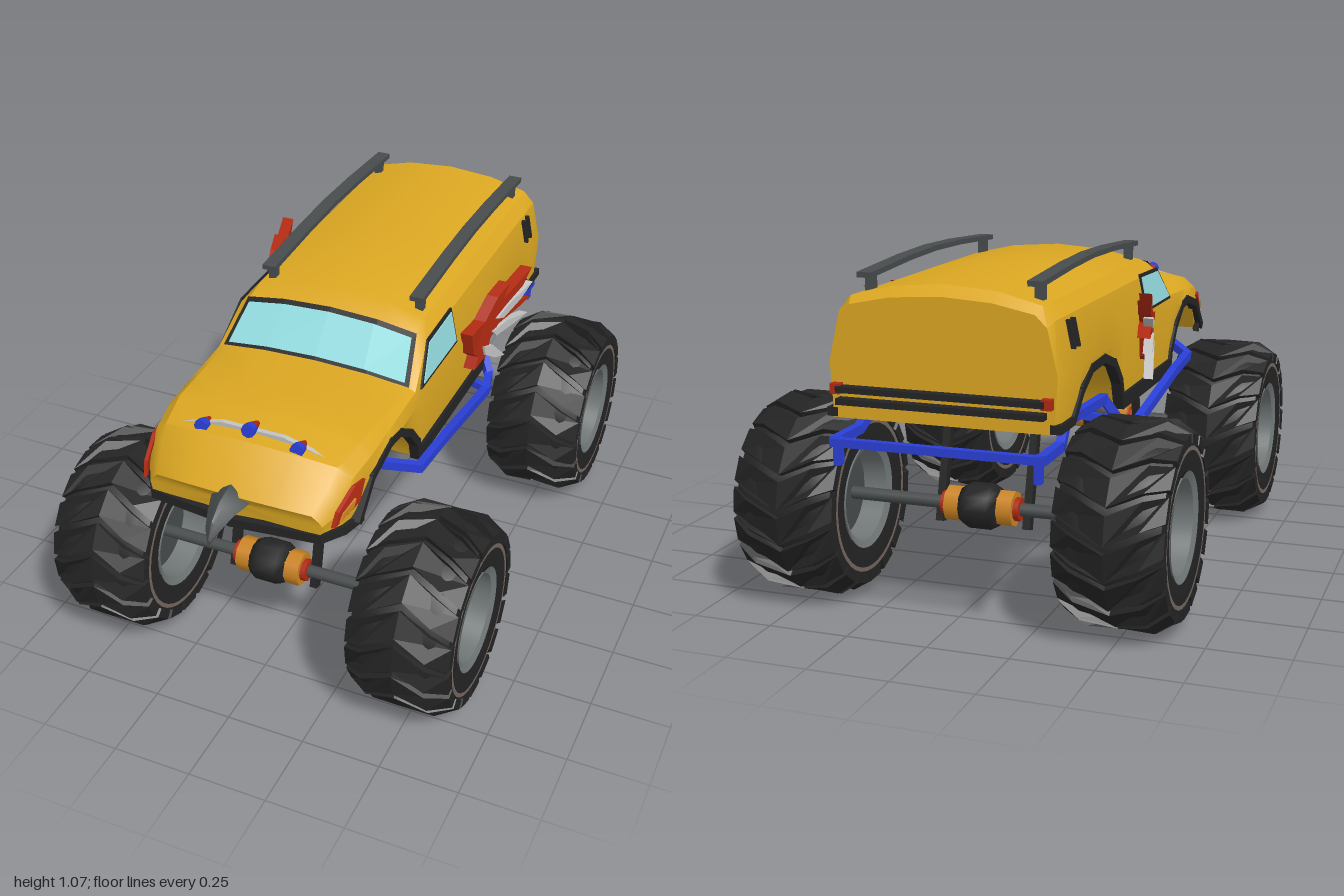
import * as THREE from 'three';
import { toCreasedNormals } from 'three/addons/utils/BufferGeometryUtils.js';

const paint = (name, color, double) => {
  const m = new THREE.MeshStandardMaterial({ color });
  m.name = name;
  if (double) m.side = THREE.DoubleSide;
  return m;
};

export function createModel() {
  const M = {
    yellow: paint('body yellow', 0xdba722), black: paint('rubber black', 0x242424, true),
    slate: paint('slate grey', 0x484c4c, true), rim: paint('rim grey', 0x707676, true),
    red: paint('red', 0xb02a12), blue: paint('frame blue', 0x2a3fd6),
    glass: paint('glass', 0x92dade, true), silver: paint('silver', 0xc2c2c2),
    orange: paint('orange', 0xcc8422), brown: paint('dusty brown', 0x74675f, true),
  };
  const root = new THREE.Group();
  root.name = 'monsterTruck';
  // Body and chassis sit slightly to one side of the wheels
  const truck = new THREE.Group();
  truck.name = 'truckBody';
  truck.position.x = -0.03;
  root.add(truck);

  const add = (name, geo, mat, parent = truck) => {
    const m = new THREE.Mesh(geo, mat);
    m.name = name;
    parent.add(m);
    return m;
  };
  const box = (name, mat, w, h, d, x, y, z) =>
    add(name, new THREE.BoxGeometry(w, h, d), mat).position.set(x, y, z);
  // Rectangular bar between two points, and a chain of them
  const bar = (name, mat, a, b, w, h) => {
    const A = new THREE.Vector3(...a), B = new THREE.Vector3(...b);
    const m = new THREE.Mesh(new THREE.BoxGeometry(w, h, A.distanceTo(B) + w * 0.5), mat);
    m.name = name;
    m.position.copy(A).lerp(B, 0.5);
    m.lookAt(B);
    truck.add(m);
  };
  const chain = (name, mat, pts, w, h) => {
    for (let i = 1; i < pts.length; i++) bar(name, mat, pts[i - 1], pts[i], w, h);
  };
  // Closed loft through rings running front to back, capped at both ends
  const loft = (rings, crease) => {
    const pos = [], n = rings[0].length;
    const tri = (...p) => p.forEach(q => pos.push(...q));
    for (let i = 0; i + 1 < rings.length; i++) for (let j = 0; j < n; j++) {
      const k = (j + 1) % n, a = rings[i][j], b = rings[i][k], c = rings[i + 1][k], d = rings[i + 1][j];
      tri(a, d, c); tri(a, c, b);
    }
    [rings[0], rings[rings.length - 1]].forEach((r, e) => {
      const mid = [0, 1, 2].map(c => r.reduce((s, p) => s + p[c], 0) / n);
      r.forEach((p, j) => (e ? tri(mid, r[(j + 1) % n], p) : tri(mid, p, r[(j + 1) % n])));
    });
    const g = new THREE.BufferGeometry();
    g.setAttribute('position', new THREE.Float32BufferAttribute(pos, 3));
    g.computeVertexNormals();
    return toCreasedNormals(g, crease);
  };
  const bend = (geo, rule) => {
    const p = geo.attributes.position, v = new THREE.Vector3();
    for (let i = 0; i < p.count; i++) {
      rule(v.fromBufferAttribute(p, i));
      p.setXYZ(i, v.x, v.y, v.z);
    }
    geo.computeVertexNormals();
    return geo;
  };
  // Plate drawn in (z, y) on side s, following x = s * lean(y, z)
  const sidePlate = (name, mat, pts, depth, s, lean) => {
    const shape = new THREE.Shape(pts.map(([z, y]) => new THREE.Vector2(-z, y)));
    const g = new THREE.ExtrudeGeometry(shape, { depth, bevelEnabled: false });
    g.translate(0, 0, -depth / 2).rotateY(Math.PI / 2);
    add(name, bend(g, v => { v.x += s * lean(v.y, v.z); }), mat);
  };

  // Shell: [z, side width, belt y, shoulder x, shoulder y, roof edge x, roof edge y, crown y]
  const stations = [
    [0.87, 0.28, 0.70, 0.27, 0.715, 0.25, 0.735, 0.755], [0.81, 0.32, 0.73, 0.30, 0.765, 0.27, 0.79, 0.815],
    [0.75, 0.335, 0.75, 0.32, 0.80, 0.28, 0.835, 0.865], [0.60, 0.345, 0.76, 0.335, 0.82, 0.30, 0.855, 0.885],
    [0.28, 0.35, 0.80, 0.338, 0.84, 0.315, 0.85, 0.87], [0.15, 0.35, 0.80, 0.32, 0.94, 0.287, 0.967, 0.995],
    [0.08, 0.35, 0.80, 0.32, 0.945, 0.285, 0.985, 1.025], [-0.90, 0.35, 0.80, 0.32, 0.945, 0.285, 0.985, 1.03],
    [-0.935, 0.34, 0.80, 0.31, 0.93, 0.275, 0.965, 1.0]];
  // Lower edge with both wheel arches: [z, y]
  const lower = [[0.87, 0.66], [0.72, 0.655], [0.626, 0.75], [0.49, 0.785], [0.42, 0.775], [0.33, 0.715],
    [0.267, 0.64], [0.25, 0.58], [-0.32, 0.58], [-0.348, 0.66], [-0.417, 0.73], [-0.524, 0.765],
    [-0.647, 0.76], [-0.738, 0.715], [-0.807, 0.637], [-0.935, 0.637]];
  const sample = (table, z) => {
    let i = 0;
    while (i < table.length - 2 && z < table[i + 1][0]) i++;
    const a = table[i], b = table[i + 1], t = (z - a[0]) / (b[0] - a[0]);
    return a.map((v, k) => v + (b[k] - v) * t);
  };
  const zs = [...new Set([...stations, ...lower].map(r => r[0]))].sort((a, b) => b - a);
  add('bodyShell', loft(zs.map(z => {
    const [, w, belt, w1, y1, w2, y2, top] = sample(stations, z), yb = sample(lower, z)[1];
    const half = [[w - 0.01, yb], [w, Math.max(belt, yb + 0.015)], [w1, y1], [w2, y2],
      [w2 * 0.55, y2 + (top - y2) * 0.72]];
    const ring = [...half, [0, top], ...half.map(([x, y]) => [-x, y]).reverse()];
    const k = 0.05 * Math.min(1, Math.max(0, (z - 0.6) / 0.2));
    return ring.map(([x, y]) => [x, y, z - k * (x / 0.33) ** 2]);
  }), 0.5), M.yellow);

  // Windscreen: dark surround with the glass laid over it
  const screen = (name, mat, z0, z1, k, off) => {
    const pos = [], us = [-1, -0.55, 0, 0.55, 1];
    const at = (z, u) => {
      const r = sample(stations, z), f = [1, 0, 0.72][Math.abs(u) === 1 ? 1 : u === 0 ? 0 : 2];
      return [u * r[5] * k, r[6] + (r[7] - r[6]) * f + off, z + off];
    };
    for (let i = 0; i < 4; i++) {
      const a = at(z0, us[i]), b = at(z0, us[i + 1]), c = at(z1, us[i + 1]), d = at(z1, us[i]);
      pos.push(...a, ...b, ...c, ...a, ...c, ...d);
    }
    const g = new THREE.BufferGeometry();
    g.setAttribute('position', new THREE.Float32BufferAttribute(pos, 3));
    g.computeVertexNormals();
    add(name, g, mat);
  };
  screen('windscreenFrame', M.black, 0.28, 0.152, 1.01, 0.004);
  screen('windscreenGlass', M.glass, 0.272, 0.165, 0.965, 0.008);

  for (const s of [1, -1]) {
    // Side windows, vents and lamps
    const wall = y => 0.352 - (y - 0.8) * 0.205;
    sidePlate('sideWindowFrame', M.black, [[0.25, 0.835], [0.148, 0.95], [-0.06, 0.955], [-0.06, 0.835]], 0.006, s, wall);
    sidePlate('sideWindowGlass', M.glass, [[0.23, 0.845], [0.142, 0.94], [-0.05, 0.945], [-0.05, 0.845]], 0.006, s, y => wall(y) + 0.003);
    for (const z of [-0.77, -0.81])
      sidePlate('sideVent', M.black, [[z + 0.007, 0.855], [z + 0.007, 0.935], [z - 0.007, 0.935], [z - 0.007, 0.855]], 0.02, s, wall);
    const nose = (y, z) => 0.342 - 0.28 * Math.max(0, z - 0.69) - 0.2 * Math.max(0, y - 0.75);
    sidePlate('headlight', M.red, [[0.82, 0.695], [0.80, 0.74], [0.72, 0.785], [0.67, 0.78], [0.71, 0.725]], 0.012, s, nose);
    sidePlate('headlightLens', M.orange, [[0.80, 0.705], [0.785, 0.73], [0.73, 0.75], [0.74, 0.725]], 0.012, s, (y, z) => nose(y, z) + 0.004);

    // Arch and sill trim
    chain('archTrim', M.black, lower.slice(1, 14).concat([[-0.815, 0.645], [-0.93, 0.645]])
      .map(([z, y]) => [s * 0.335, y + 0.008, z]), 0.032, 0.026);
    box('sill', M.black, 0.02, 0.045, 0.57, s * 0.342, 0.6, -0.035);

    // Flared claw ornament
    const flare = (y, z) => 0.365 + 0.24 * Math.max(0, -0.12 - z);
    sidePlate('clawPalm', M.red, [[-0.095, 0.845], [-0.18, 0.855], [-0.25, 0.915], [-0.32, 0.938], [-0.285, 0.895],
      [-0.37, 0.915], [-0.45, 0.938], [-0.40, 0.89], [-0.31, 0.865], [-0.27, 0.84], [-0.36, 0.845], [-0.45, 0.825],
      [-0.37, 0.815], [-0.26, 0.81], [-0.215, 0.775], [-0.20, 0.72], [-0.13, 0.695], [-0.15, 0.735], [-0.12, 0.76]], 0.04, s, flare);
    const claws = [[[-0.24, 0.84], [-0.31, 0.865], [-0.45, 0.885], [-0.38, 0.85], [-0.28, 0.825]],
      [[-0.22, 0.80], [-0.30, 0.805], [-0.43, 0.775], [-0.35, 0.772], [-0.24, 0.775]],
      [[-0.17, 0.765], [-0.22, 0.75], [-0.30, 0.67], [-0.24, 0.69], [-0.18, 0.73]]];
    claws.forEach(c => sidePlate('claw', M.silver, c, 0.03, s, (y, z) => flare(y, z) + 0.012));

    // Roof rail on posts
    chain('roofRail', M.slate, [[0.065, 1.04], [-0.2, 1.055], [-0.4, 1.06], [-0.6, 1.055], [-0.865, 1.04]]
      .map(([z, y]) => [s * 0.255, y, z]), 0.045, 0.016);
    for (const z of [0.04, -0.83]) box('railPost', M.slate, 0.026, 0.07, 0.026, s * 0.255, 1.01, z);

    // Frame rail
    chain('frameRail', M.blue, [[0.17, 0.69, 0.48], [0.30, 0.655, 0.42], [0.385, 0.62, 0.35], [0.39, 0.605, 0.14], [0.38, 0.525, -0.28],
      [0.36, 0.535, -0.37], [0.31, 0.625, -0.41], [0.30, 0.63, -0.74], [0.31, 0.578, -0.82], [0.31, 0.578, -0.98]]
      .map(([x, y, z]) => [s * x, y, z]), 0.026, 0.028);
    bar('frameHook', M.blue, [s * 0.30, 0.585, -0.975], [s * 0.30, 0.515, -0.975], 0.02, 0.03);
    bar('frameBrace', M.blue, [s * 0.385, 0.525, -0.29], [s * 0.17, 0.55, -0.33], 0.024, 0.024);
    // Axle struts
    bar('frontStrut', M.black, [s * 0.14, 0.69, 0.50], [s * 0.14, 0.26, 0.60], 0.024, 0.03);
    bar('rearStrut', M.black, [s * 0.14, 0.64, -0.52], [s * 0.14, 0.26, -0.62], 0.024, 0.03);
    bar('strutBracket', M.blue, [s * 0.17, 0.70, 0.48], [s * 0.17, 0.61, 0.51], 0.03, 0.03);
    box('tailLight', M.red, 0.03, 0.03, 0.03, s * 0.315, 0.725, -0.945);
  }
  // Frame cross members
  bar('frontCrossBar', M.blue, [-0.18, 0.69, 0.48], [0.18, 0.69, 0.48], 0.026, 0.028);
  chain('middleCrossBar', M.blue, [[-0.18, 0.55, -0.33], [-0.12, 0.525, -0.33], [0.12, 0.525, -0.33], [0.18, 0.55, -0.33]], 0.026, 0.03);
  bar('rearCrossBar', M.blue, [-0.31, 0.578, -0.985], [0.31, 0.578, -0.985], 0.024, 0.024);
  // Bumpers
  for (const y of [0.725, 0.69]) box('rearBumperBar', M.black, 0.62, 0.018, 0.035, 0, y, -0.95);
  chain('frontBumper', M.black, [[-0.335, 0.69], [-0.315, 0.765], [-0.27, 0.83], [0, 0.86], [0.27, 0.83], [0.315, 0.765], [0.335, 0.69]]
    .map(([x, z]) => [x, 0.657, z]), 0.022, 0.03);

  // Hooked beak on the nose
  add('beak', loft([[0.79, 0.065, 0.70, 0.77], [0.86, 0.06, 0.70, 0.78], [0.92, 0.04, 0.695, 0.765], [0.97, 0.022, 0.68, 0.73], [0.995, 0.004, 0.665, 0.685]]
    .map(([z, w, b, t]) => [[w * 0.45, b, z], [w, b + (t - b) * 0.4, z], [w * 0.35, b + (t - b) * 0.85, z], [0, t, z],
      [-w * 0.35, b + (t - b) * 0.85, z], [-w, b + (t - b) * 0.4, z], [-w * 0.45, b, z]]), 0.4), M.slate);

  // Bonnet light bar with three lamps
  chain('lightBar', M.silver, [[-0.24, 0.838, 0.70], [-0.1, 0.872, 0.70], [0.1, 0.872, 0.70], [0.24, 0.838, 0.70]], 0.016, 0.014);
  for (const [x, y] of [[-0.155, 0.862], [0, 0.888], [0.155, 0.862]]) {
    const lamp = new THREE.Group();
    lamp.name = 'bonnetLamp';
    lamp.position.set(x, y, 0.715);
    lamp.rotation.x = Math.PI / 2 - 0.15;
    add('lampFace', new THREE.CylinderGeometry(0.022, 0.02, 0.025, 8), M.blue, lamp).position.y = 0.008;
    add('lampShell', new THREE.CylinderGeometry(0.02, 0.008, 0.04, 8), M.red, lamp).position.y = -0.024;
    truck.add(lamp);
  }

  // Axles with banded differential
  for (const z of [0.61, -0.63]) {
    const axle = new THREE.Group();
    axle.name = 'axle';
    axle.position.set(0, 0.318, z);
    axle.rotation.z = Math.PI / 2;
    const drum = (name, mat, r, h, n) => add(name, new THREE.CylinderGeometry(r, r, h, n), mat, axle);
    drum('axleShaft', M.slate, 0.02, 0.86, 10);
    drum('axleCollar', M.red, 0.036, 0.25, 10);
    drum('axleHousing', M.orange, 0.055, 0.215, 8);
    add('differential', new THREE.LatheGeometry([[0, -0.06], [0.056, -0.06], [0.07, -0.035], [0.07, 0.035], [0.056, 0.06], [0, 0.06]]
      .map(p => new THREE.Vector2(...p)), 10), M.black, axle);
    truck.add(axle);
  }

  // Wheels: lathed tyre, dished rims and bent chevron lugs
  const lathe = pts => toCreasedNormals(
    new THREE.LatheGeometry(pts.map(p => new THREE.Vector2(...p)), 36).rotateZ(-Math.PI / 2), 0.5);
  const tyreGeo = lathe([[0.15, -0.13], [0.165, -0.15], [0.235, -0.157], [0.268, -0.152], [0.293, -0.10],
    [0.293, 0.10], [0.268, 0.152], [0.235, 0.157], [0.165, 0.15], [0.15, 0.13]]);
  const xs = [-0.163, -0.1, 0, 0.1, 0.163], vee = x => 0.045 - Math.abs(x) * 0.5;
  const outline = [...xs.map(x => [x, vee(x) - 0.042]), ...xs.slice().reverse().map(x => [x, vee(x) + 0.042])];
  const lugGeo = bend(new THREE.ExtrudeGeometry(new THREE.Shape(outline.map(p => new THREE.Vector2(...p))),
    { depth: 0.03, bevelEnabled: false }), v => {
    const r = 0.282 + v.z - Math.max(0, Math.abs(v.x) - 0.1) * 0.6, a = v.y / 0.31;
    v.set(v.x, r * Math.sin(a), r * Math.cos(a));
  });
  for (const x of [0.5, -0.5]) for (const z of [0.61, -0.63]) {
    const wheel = new THREE.Group();
    wheel.name = (z > 0 ? 'front' : 'rear') + (x > 0 ? 'Left' : 'Right') + 'Wheel';
    wheel.position.set(x, 0.315, z);
    add('tyre', tyreGeo, M.black, wheel);
    for (let i = 0; i < 18; i++) add('treadLug', lugGeo, M.black, wheel).rotation.x = (i / 18) * Math.PI * 2;
    for (const s of [1, -1]) {
      add('rim', lathe([[0.138, s * 0.06], [0.142, s * 0.145], [0.165, s * 0.155]]), M.rim, wheel);
      const disc = add('hubDisc', new THREE.CircleGeometry(0.14, 36), M.slate, wheel);
      const ring = add('sidewallRing', new THREE.RingGeometry(0.225, 0.238, 36), M.brown, wheel);
      disc.position.x = s * 0.07;
      ring.position.x = s * 0.16;
      disc.rotation.y = ring.rotation.y = s * Math.PI / 2;
    }
    root.add(wheel);
  }
  return root;
}
